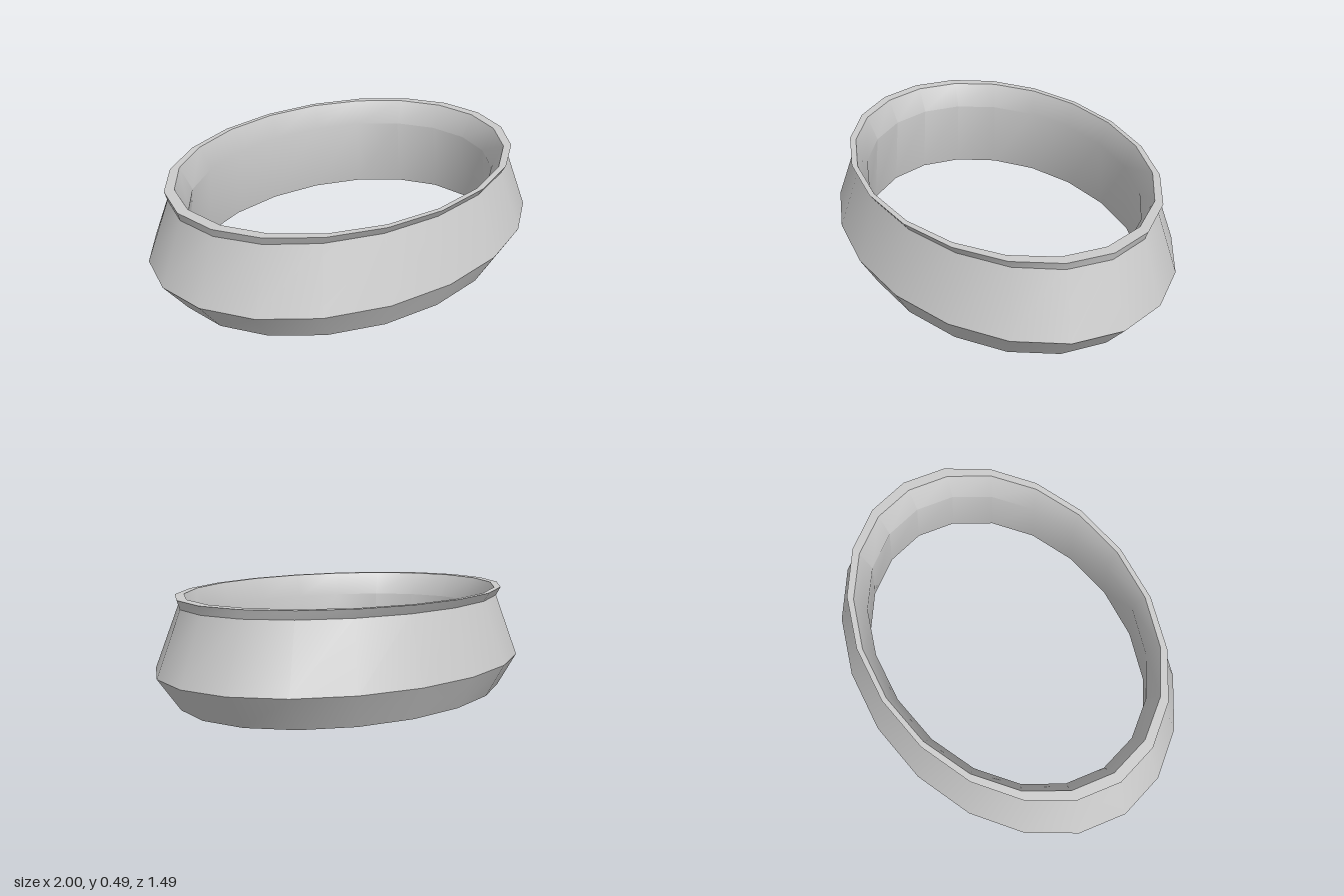
import * as THREE from 'three';
import { toCreasedNormals } from 'three/addons/utils/BufferGeometryUtils.js';

const SEGMENTS = 20;

// Closed cross-section as [radius x, radius z, height], up the outside and down the inside
const PROFILE = [
  [0.89, 0.668, 0],      // outer foot
  [1.0, 0.745, 0.152],   // widest edge
  [0.885, 0.642, 0.445], // neck under the lip
  [0.895, 0.668, 0.485], // lip outer edge
  [0.845, 0.645, 0.485], // lip inner edge
  [0.79, 0.6, 0.37],     // narrowest point of the bore
  [0.842, 0.638, 0],     // inner foot
];

// Sweeps the cross-section around an ellipse and closes it on itself
function ellipticalRing(profile, segments) {
  const positions = [];
  const indices = [];
  for (const [rx, rz, y] of profile) {
    for (let j = 0; j < segments; j++) {
      const a = (j / segments) * Math.PI * 2;
      positions.push(rx * Math.cos(a), y, rz * Math.sin(a));
    }
  }
  for (let i = 0; i < profile.length; i++) {
    const up = (i + 1) % profile.length;
    for (let j = 0; j < segments; j++) {
      const next = (j + 1) % segments;
      const a = i * segments + j;
      const b = up * segments + j;
      const c = up * segments + next;
      const d = i * segments + next;
      indices.push(a, b, d, b, c, d);
    }
  }
  const geometry = new THREE.BufferGeometry();
  geometry.setAttribute('position', new THREE.Float32BufferAttribute(positions, 3));
  geometry.setIndex(indices);
  return toCreasedNormals(geometry, 0.58);
}

export function createModel() {
  const group = new THREE.Group();
  group.name = 'ovalCollar';

  const ring = new THREE.Mesh(
    ellipticalRing(PROFILE, SEGMENTS),
    new THREE.MeshStandardMaterial({ color: 0xcccccc })
  );
  ring.name = 'collarRing';
  group.add(ring);

  return group;
}
